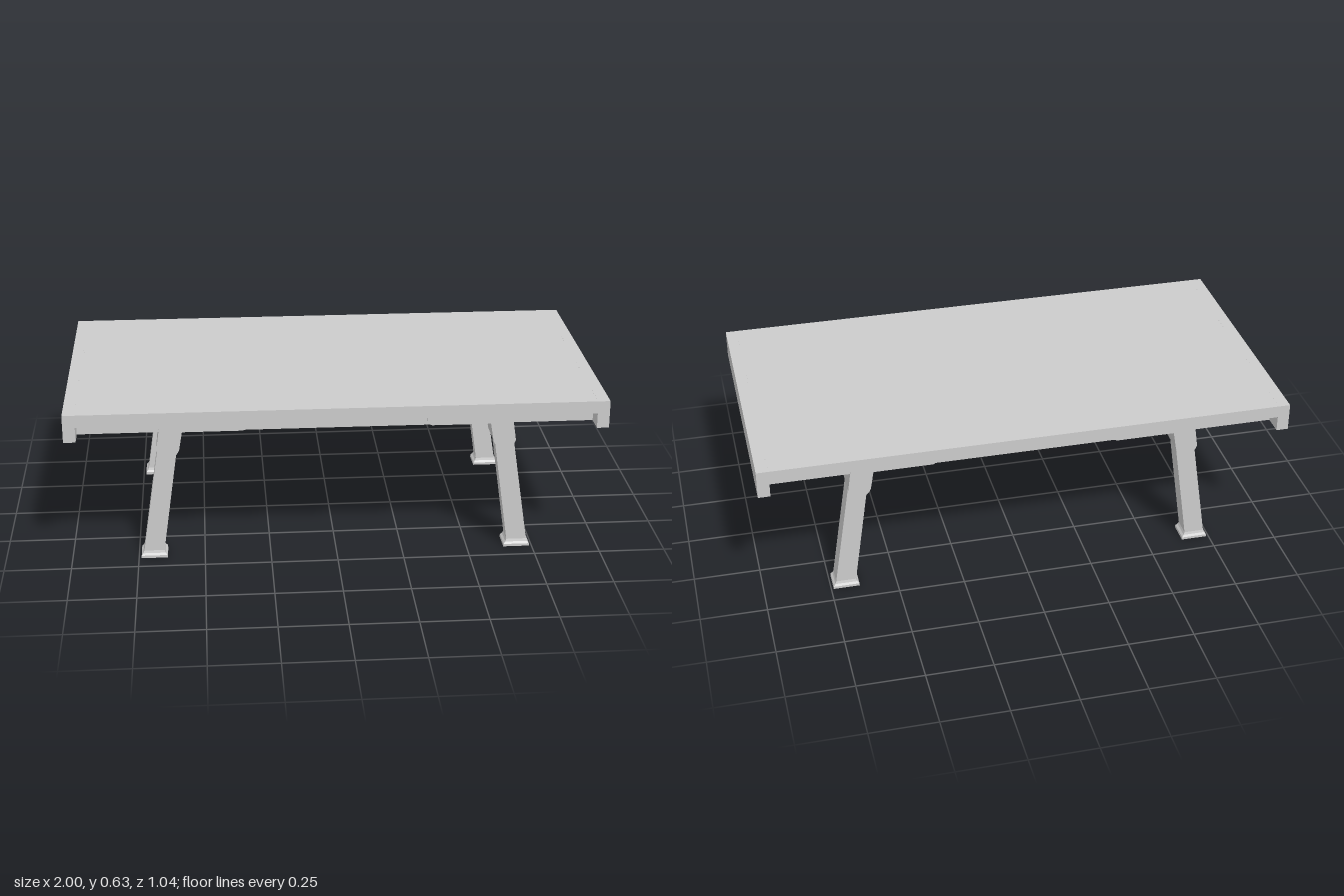
import * as THREE from 'three';
import { toCreasedNormals } from 'three/addons/utils/BufferGeometryUtils.js';

const grey = new THREE.MeshStandardMaterial({ color: 0xcccccc });

function add(parent, name, geometry, x = 0, y = 0, z = 0) {
  const mesh = new THREE.Mesh(geometry, grey);
  mesh.name = name;
  mesh.position.set(x, y, z);
  parent.add(mesh);
  return mesh;
}

// Extrudes a front outline, centred on z = 0
function extrude(shape, depth) {
  const g = new THREE.ExtrudeGeometry(shape, { depth, bevelEnabled: false, curveSegments: 8 });
  g.translate(0, 0, -depth / 2);
  return toCreasedNormals(g, 0.6);
}

// Top slab with its two end panels in one U-shaped outline
function tableTop() {
  const s = new THREE.Shape();
  s.moveTo(-1, 0.52);
  s.lineTo(-0.955, 0.52);
  s.lineTo(-0.955, 0.578);
  s.lineTo(0.955, 0.578);
  s.lineTo(0.955, 0.52);
  s.lineTo(1, 0.52);
  s.lineTo(1, 0.625);
  s.lineTo(-1, 0.625);
  s.closePath();
  return extrude(s, 1.04);
}

// Hinge arm that turns down into a rounded socket for the leg
function bracket(side) {
  const s = new THREE.Shape();
  const X = (x) => x * side;
  s.moveTo(X(0.335), 0.578);
  s.lineTo(X(0.62), 0.578);
  s.quadraticCurveTo(X(0.655), 0.578, X(0.655), 0.54);
  s.lineTo(X(0.668), 0.452);
  s.quadraticCurveTo(X(0.66), 0.418, X(0.63), 0.416);
  s.quadraticCurveTo(X(0.595), 0.418, X(0.584), 0.45);
  s.lineTo(X(0.572), 0.52);
  s.lineTo(X(0.355), 0.52);
  s.quadraticCurveTo(X(0.338), 0.52, X(0.335), 0.54);
  s.closePath();
  return extrude(s, 0.127);
}

// Splayed leg with flared foot; each row is [y, centre x, half width x, half depth z]
function leg(side) {
  const rows = [
    [0.47, 0.625, 0.036, 0.036],
    [0.028, 0.691, 0.038, 0.036],
    [0.018, 0.691, 0.042, 0.039],
    [0.01, 0.691, 0.049, 0.044],
    [0, 0.691, 0.05, 0.044],
  ];
  const g = new THREE.BoxGeometry(2, 4, 2, 1, rows.length - 1, 1);
  const p = g.attributes.position;
  for (let i = 0; i < p.count; i++) {
    const [y, cx, hx, hz] = rows[Math.round(2 - p.getY(i))];
    p.setXYZ(i, side * cx + p.getX(i) * hx, y, p.getZ(i) * hz);
  }
  const flat = g.toNonIndexed();
  flat.computeVertexNormals();
  return flat;
}

export function createModel() {
  const table = new THREE.Group();
  table.name = 'foldingTable';
  add(table, 'tableTop', tableTop());

  for (const back of [1, -1]) {
    // Long rail between the end panels
    add(table, 'rail', new THREE.BoxGeometry(1.91, 0.058, 0.145), 0, 0.5495, back * 0.3725);
    for (const side of [1, -1]) {
      const unit = new THREE.Group();
      unit.name = 'legUnit';
      unit.position.z = back * 0.388;
      add(unit, 'legBracket', bracket(side));
      add(unit, 'leg', leg(side));
      table.add(unit);
    }
  }

  // Rows of tiny flush pins above the end panels
  const pin = new THREE.CylinderGeometry(0.003, 0.003, 0.004, 8);
  for (const side of [1, -1])
    for (const z of [-0.45, -0.15, 0.15, 0.45])
      for (let i = 0; i < 4; i++)
        add(table, 'pin', pin, side * 0.957, 0.6235, z + (i - 1.5) * 0.025);

  return table;
}
